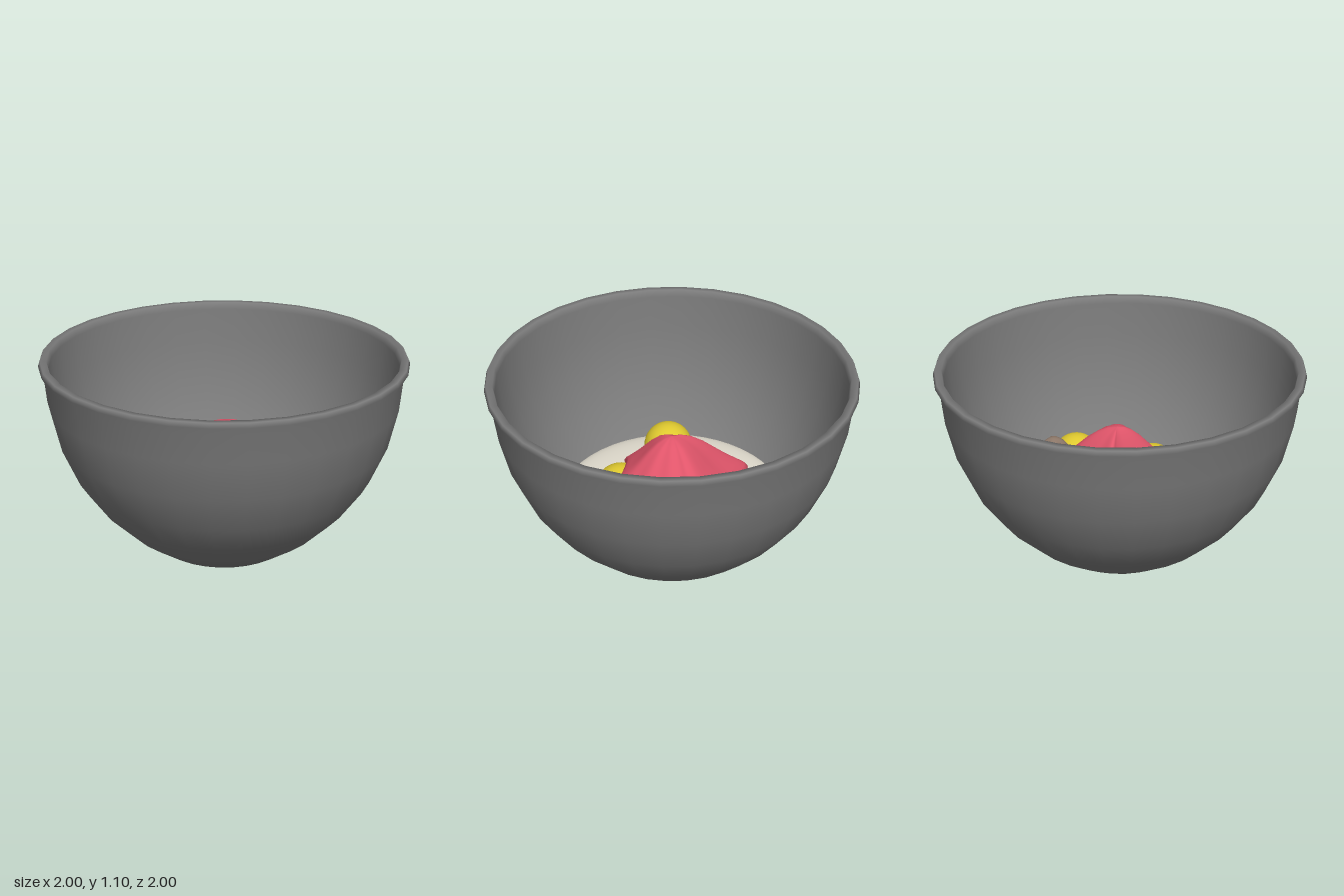
import * as THREE from 'three';

const material = (color, side = THREE.FrontSide) => new THREE.MeshStandardMaterial({ color, side });

function addMesh(parent, name, geometry, mat, x = 0, y = 0, z = 0) {
  const mesh = new THREE.Mesh(geometry, mat);
  mesh.name = name;
  mesh.position.set(x, y, z);
  parent.add(mesh);
  return mesh;
}

const lathe = (points, segments) =>
  new THREE.LatheGeometry(points.map(([r, y]) => new THREE.Vector2(r, y)), segments);

// Draped sauce: rings shrink from an uneven outline towards a soft peak, then close below
function sauceGeometry() {
  const outline = [
    [-0.2, -0.42, 0.38], [-0.15, -0.42, 0.38], [0, -0.355, 0.4], [0.14, -0.33, 0.4],
    [0.35, -0.27, 0.39], [0.39, -0.19, 0.4], [0.35, -0.1, 0.43], [0.36, 0, 0.44],
    [0.31, 0.1, 0.45], [0.31, 0.2, 0.42], [0.25, 0.275, 0.4], [0.16, 0.305, 0.44],
    [0, 0.265, 0.48], [-0.1, 0.265, 0.46], [-0.17, 0.28, 0.41], [-0.2, 0.21, 0.4],
    [-0.17, 0, 0.43], [-0.16, -0.12, 0.43], [-0.18, -0.25, 0.41], [-0.22, -0.38, 0.38],
  ].map(([x, z, y]) => new THREE.Vector3(x, y, z));
  const n = 80;
  const edge = new THREE.CatmullRomCurve3(outline, true).getPoints(n).slice(0, n);
  // [outline scale, share of the height between edge and peak]
  const rings = [[0.001, 1], [0.12, 0.98], [0.25, 0.9], [0.4, 0.75], [0.55, 0.56], [0.7, 0.37],
    [0.85, 0.2], [0.95, 0.09], [1, 0], [0.97, -0.14], [0.8, -0.25], [0.001, -0.3]];
  const cx = 0.02, cz = 0, peak = 0.71;
  const positions = [], index = [];
  rings.forEach(([s, f], j) => {
    edge.forEach((p, i) => {
      positions.push(cx + (p.x - cx) * s, p.y + (peak - p.y) * f, cz + (p.z - cz) * s);
      if (j === 0) return;
      const k = (i + 1) % n, a = (j - 1) * n, b = j * n;
      index.push(a + i, b + k, b + i, a + i, a + k, b + k);
    });
  });
  const g = new THREE.BufferGeometry();
  g.setAttribute('position', new THREE.Float32BufferAttribute(positions, 3));
  g.setIndex(index);
  g.computeVertexNormals();
  return g;
}

// Nut piece: a small sphere pulled out into four blunt horns
function nutGeometry() {
  const g = new THREE.SphereGeometry(0.066, 24, 16);
  const p = g.attributes.position;
  for (let i = 0; i < p.count; i++) {
    const x = p.getX(i), y = p.getY(i), z = p.getZ(i);
    const angle = Math.atan2(z, x);
    const k = 1 - 0.24 * Math.cos(4 * angle) * (x * x + z * z) / 0.0044 + 0.08 * Math.sin(angle);
    p.setXYZ(i, x * k, y, z * k);
  }
  g.computeVertexNormals();
  return g;
}

export function createModel() {
  const group = new THREE.Group();

  // Bowl: outer wall upwards, over the thick lip, inner wall downwards
  const wall = [
    [0, 0], [0.38, 0], [0.55, 0.12], [0.7, 0.27], [0.82, 0.44], [0.91, 0.65], [0.96, 0.87],
    [0.975, 1.03], [1, 1.075], [0.99, 1.1], [0.955, 1.1], [0.945, 1.06], [0.925, 0.87],
    [0.87, 0.65], [0.78, 0.45], [0.66, 0.29], [0.5, 0.16], [0.34, 0.06], [0, 0.06],
  ];
  addMesh(group, 'bowl', lathe(wall, 32), material(0x7a7a7a, THREE.DoubleSide));

  // Cream: shallow dome filling the bottom of the bowl
  const dome = [[0, 0.12], [0.42, 0.12]];
  for (let i = 0; i <= 12; i++) {
    const a = (i / 12) * Math.PI / 2;
    dome.push([0.65 * Math.cos(a), 0.26 + 0.11 * Math.sin(a)]);
  }
  addMesh(group, 'cream', lathe(dome, 48), material(0xe6e1d3));

  // Sauce
  addMesh(group, 'sauce', sauceGeometry(), material(0xe0556a));

  // Berries: x, y, z, radius
  const berryMaterial = material(0xdfc92f);
  [
    [-0.395, 0.37, 0.045, 0.14],
    [0.395, 0.36, 0.075, 0.14],
    [0, 0.33, 0.29, 0.148],
    [0.23, 0.41, -0.265, 0.13],
    [-0.075, 0.37, -0.16, 0.13],
  ].forEach(([x, y, z, r], i) =>
    addMesh(group, `berry${i + 1}`, new THREE.SphereGeometry(r, 32, 20), berryMaterial, x, y, z));

  // Nut piece resting at the edge of the sauce
  addMesh(group, 'nut', nutGeometry(), material(0x8c7768), 0.415, 0.48, -0.095);

  return group;
}
